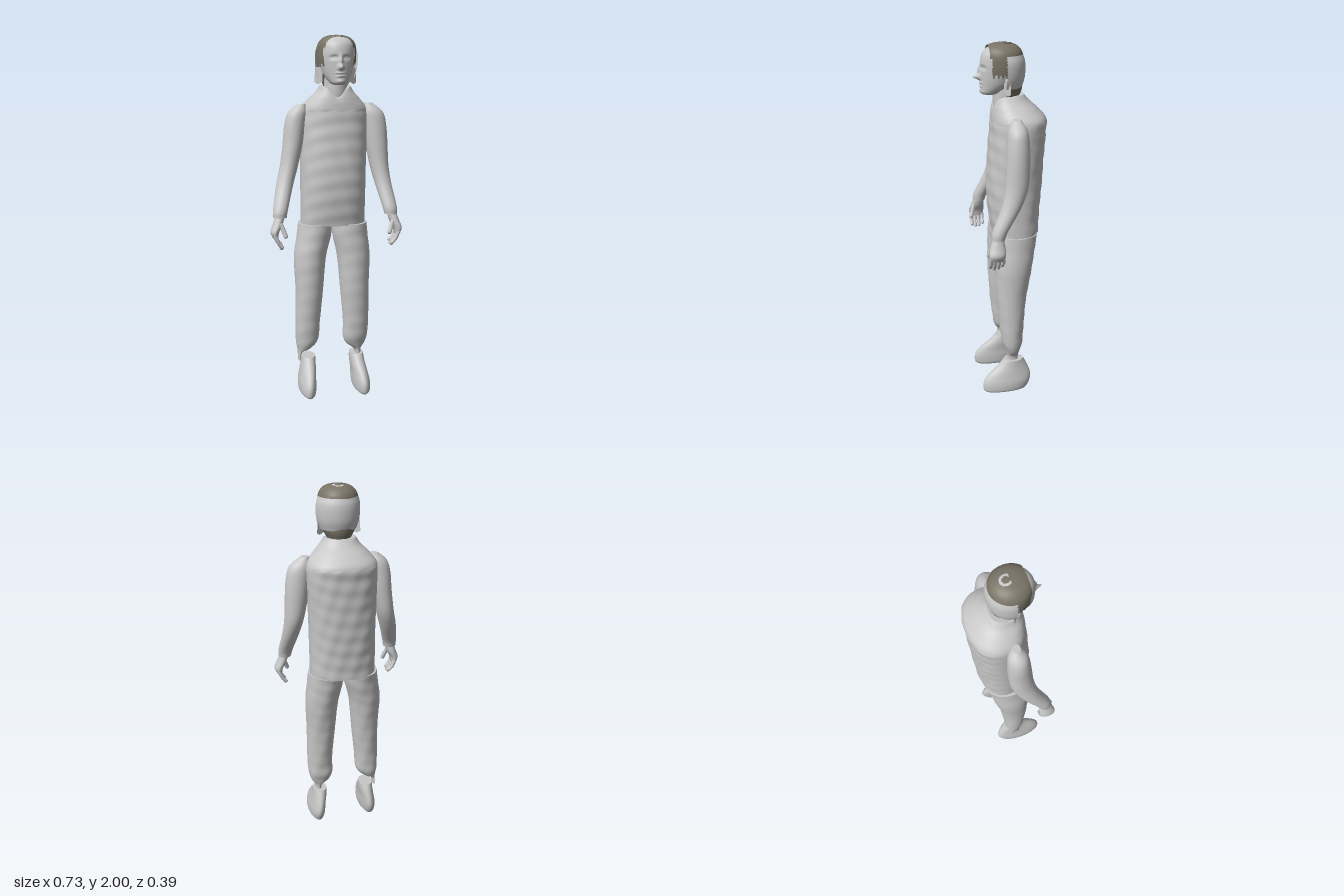
import * as THREE from 'three';

const skin = new THREE.MeshStandardMaterial({ color: 0xc8c8c8, side: THREE.DoubleSide });
skin.name = 'light grey';
const hairMat = new THREE.MeshStandardMaterial({ color: 0x797466, side: THREE.DoubleSide });
hairMat.name = 'dark olive hair';

// Smooth loft through horizontal rings [y, xMin, xMax, zMin, zMax], bottom to top.
// shape: superellipse power; warp moves points; keep selects faces by their centre.
function loft(name, rings, { mat = skin, seg = 40, sub = 6, shape = 2, caps = true, warp, keep } = {}) {
  const lo = new THREE.CatmullRomCurve3(rings.map(r => new THREE.Vector3(r[1], r[0], r[3])), false, 'catmullrom', 0.5);
  const hi = new THREE.CatmullRomCurve3(rings.map(r => new THREE.Vector3(r[2], r[0], r[4])), false, 'catmullrom', 0.5);
  const rows = (rings.length - 1) * sub, pts = [], index = [];
  const power = v => Math.sign(v) * Math.pow(Math.abs(v), 2 / shape);
  for (let i = 0; i <= rows; i++) {
    const a = lo.getPoint(i / rows), b = hi.getPoint(i / rows);
    for (let j = 0; j < seg; j++) {
      const t = j / seg * Math.PI * 2;
      const p = new THREE.Vector3(
        (a.x + b.x) / 2 + (b.x - a.x) / 2 * power(Math.cos(t)), a.y,
        (a.z + b.z) / 2 + (b.z - a.z) / 2 * power(Math.sin(t)));
      if (warp) warp(p);
      pts.push(p);
    }
  }
  const face = (a, b, c) => {
    const m = new THREE.Vector3().add(pts[a]).add(pts[b]).add(pts[c]).divideScalar(3);
    if (!keep || keep(m)) index.push(a, b, c);
  };
  for (let i = 0; i < rows; i++) for (let j = 0; j < seg; j++) {
    const a = i * seg + j, b = i * seg + (j + 1) % seg;
    face(a, a + seg, b);
    face(b, a + seg, b + seg);
  }
  if (caps) for (const [start, up] of [[0, false], [rows * seg, true]]) {
    const ring = pts.slice(start, start + seg), centre = new THREE.Vector3();
    ring.forEach(p => centre.addScaledVector(p, 1 / seg));
    const base = pts.length;
    pts.push(...ring.map(p => p.clone()), centre);
    for (let j = 0; j < seg; j++) {
      const a = base + j, b = base + (j + 1) % seg;
      up ? face(a, base + seg, b) : face(a, b, base + seg);
    }
  }
  const geo = new THREE.BufferGeometry().setFromPoints(pts);
  geo.setIndex(index);
  geo.computeVertexNormals();
  const mesh = new THREE.Mesh(geo, mat);
  mesh.name = name;
  return mesh;
}

// Soft bump with its peak at (cx, cy)
const bump = (x, y, cx, cy, w, h) => Math.exp(-(((x - cx) / w) ** 2) - ((y - cy) / h) ** 2);

// Small cloth wrinkles
const wrinkle = amount => p => {
  const w = Math.sin(p.y * 47 + p.x * 31) * Math.sin(p.x * 38 - p.y * 23 + p.z * 29);
  p.z += w * amount;
};

function finger(name, from, to, radius) {
  const a = new THREE.Vector3(...from), b = new THREE.Vector3(...to), d = b.clone().sub(a);
  const mesh = new THREE.Mesh(new THREE.CapsuleGeometry(radius, d.length(), 4, 10), skin);
  mesh.position.copy(a).add(b).multiplyScalar(0.5);
  mesh.quaternion.setFromUnitVectors(new THREE.Vector3(0, 1, 0), d.normalize());
  mesh.name = name;
  return mesh;
}

function hand(name, s) {
  const g = new THREE.Group();
  g.name = name;
  const side = (a, b) => s > 0 ? [a, b] : [-b, -a];
  g.add(loft(name + 'Palm', [
    [0.925, ...side(0.325, 0.352), 0.095, 0.172],
    [0.96, ...side(0.318, 0.366), 0.09, 0.178],
    [1.0, ...side(0.298, 0.352), 0.09, 0.168],
    [1.05, ...side(0.285, 0.335), 0.098, 0.15]], { seg: 20 }));
  [0.102, 0.124, 0.146, 0.166].forEach((z, i) => {
    const tip = [0.885, 0.872, 0.87, 0.88][i];
    g.add(finger('finger', [s * 0.342, 0.94, z], [s * 0.327, 0.905, z], 0.0105));
    g.add(finger('fingerTip', [s * 0.327, 0.905, z], [s * 0.307, tip, z], 0.0095));
  });
  g.add(finger('thumb', [s * 0.31, 1.0, 0.155], [s * 0.288, 0.94, 0.172], 0.012));
  return g;
}

export function createModel() {
  const model = new THREE.Group();
  model.name = 'standingFigure';

  // Shirt with rounded back and lowered front neckline
  model.add(loft('torso', [
    [0.97, -0.175, 0.19, -0.15, 0.105],
    [1.1, -0.174, 0.19, -0.158, 0.122],
    [1.25, -0.174, 0.192, -0.168, 0.128],
    [1.42, -0.174, 0.198, -0.178, 0.118],
    [1.54, -0.175, 0.205, -0.184, 0.108],
    [1.61, -0.168, 0.2, -0.186, 0.104],
    [1.66, -0.13, 0.16, -0.145, 0.1],
    [1.7, -0.09, 0.12, -0.1, 0.096],
    [1.735, -0.07, 0.098, -0.07, 0.09]], {
    shape: 2.3, seg: 72, sub: 10,
    warp(p) {
      if (p.y < 1.6) wrinkle(0.003)(p);
      if (p.y > 1.64 && p.z > 0) p.y -= (p.y - 1.64) * 0.65 * bump(p.x, 0, 0.014, 0, 0.05, 1);
    },
  }));

  // Sleeves
  model.add(loft('leftArm', [
    [1.035, 0.272, 0.342, 0.088, 0.158],
    [1.08, 0.262, 0.342, 0.07, 0.152],
    [1.2, 0.235, 0.327, -0.005, 0.1],
    [1.3, 0.212, 0.318, -0.045, 0.078],
    [1.42, 0.19, 0.314, -0.055, 0.07],
    [1.52, 0.178, 0.306, -0.054, 0.063],
    [1.59, 0.172, 0.286, -0.045, 0.053],
    [1.64, 0.18, 0.225, -0.018, 0.025]], { seg: 32 }));
  model.add(loft('rightArm', [
    [1.035, -0.348, -0.275, 0.088, 0.158],
    [1.08, -0.346, -0.265, 0.07, 0.152],
    [1.2, -0.32, -0.227, -0.005, 0.1],
    [1.3, -0.294, -0.195, -0.045, 0.078],
    [1.42, -0.276, -0.166, -0.055, 0.07],
    [1.52, -0.266, -0.152, -0.054, 0.063],
    [1.59, -0.245, -0.143, -0.045, 0.053],
    [1.635, -0.195, -0.148, -0.018, 0.025]], { seg: 32 }));
  model.add(hand('leftHand', 1), hand('rightHand', -1));

  // Trousers, gathered to a thin ankle
  const cloth = { seg: 40, sub: 8, warp: wrinkle(0.002) };
  model.add(loft('leftLeg', [
    [0.19, 0.13, 0.166, -0.02, 0.04],
    [0.225, 0.125, 0.168, -0.02, 0.042],
    [0.26, 0.08, 0.19, -0.032, 0.055],
    [0.31, 0.062, 0.204, -0.045, 0.07],
    [0.4, 0.062, 0.21, -0.05, 0.083],
    [0.6, 0.045, 0.21, -0.07, 0.1],
    [0.78, 0.03, 0.216, -0.1, 0.106],
    [0.9, 0.006, 0.206, -0.122, 0.106],
    [0.975, 0, 0.2, -0.135, 0.105]], cloth));
  model.add(loft('rightLeg', [
    [0.18, -0.202, -0.186, -0.02, 0.04],
    [0.225, -0.203, -0.178, -0.02, 0.042],
    [0.25, -0.207, -0.125, -0.032, 0.055],
    [0.3, -0.214, -0.085, -0.045, 0.07],
    [0.4, -0.215, -0.076, -0.05, 0.083],
    [0.6, -0.213, -0.056, -0.07, 0.1],
    [0.78, -0.218, -0.038, -0.1, 0.106],
    [0.9, -0.2, -0.008, -0.122, 0.106],
    [0.975, -0.19, 0, -0.135, 0.105]], cloth));

  // Shoes
  for (const [name, s] of [['leftShoe', 1], ['rightShoe', -1]]) {
    const side = (a, b) => s > 0 ? [a, b] : [-b, -a];
    model.add(loft(name, [
      [0, ...side(0.125, 0.188), -0.055, 0.175],
      [0.015, ...side(0.112, 0.204), -0.07, 0.187],
      [0.06, ...side(0.108, 0.205), -0.09, 0.187],
      [0.105, ...side(0.108, 0.196), -0.09, 0.16],
      [0.16, ...side(0.102, 0.186), -0.07, 0.098],
      [0.2, ...side(0.102, 0.182), -0.05, 0.062]], { seg: 32 }));
  }

  // Neck and face
  model.add(loft('neck', [
    [1.64, -0.06, 0.09, -0.06, 0.088],
    [1.7, -0.05, 0.08, -0.05, 0.092],
    [1.79, -0.045, 0.075, -0.04, 0.09]], { seg: 32 }));
  model.add(loft('head', [
    [1.738, -0.015, 0.045, 0.07, 0.145],
    [1.75, -0.033, 0.063, 0.04, 0.157],
    [1.79, -0.058, 0.088, -0.02, 0.157],
    [1.84, -0.072, 0.102, -0.045, 0.158],
    [1.9, -0.078, 0.108, -0.055, 0.158],
    [1.95, -0.072, 0.102, -0.045, 0.145],
    [1.98, -0.048, 0.078, -0.015, 0.108],
    [1.99, -0.01, 0.04, 0.02, 0.055]], {
    seg: 120, sub: 10,
    warp(p) {
      if (p.z < 0.09) return;
      const x = p.x - 0.015;
      p.z += 0.036 * bump(x, p.y, 0, 1.828, 0.013, 0.013)         // nose tip
        + 0.016 * bump(x, p.y, 0, 1.86, 0.01, 0.025)              // nose bridge
        - 0.014 * bump(Math.abs(x), p.y, 0.033, 1.878, 0.02, 0.01) // eye sockets
        + 0.008 * bump(Math.abs(x), p.y, 0.033, 1.876, 0.012, 0.006)
        + 0.009 * bump(x, p.y, 0, 1.798, 0.022, 0.006)            // lips
        + 0.008 * bump(x, p.y, 0, 1.783, 0.02, 0.006)
        - 0.006 * bump(x, p.y, 0, 1.79, 0.026, 0.003)
        + 0.006 * bump(x, p.y, 0, 1.755, 0.02, 0.01);
    },
  }));

  // Hair: crown with an arched gap, sideburns and nape
  model.add(loft('hair', [
    [1.73, -0.05, 0.08, -0.05, 0.1],
    [1.77, -0.07, 0.1, -0.062, 0.12],
    [1.84, -0.088, 0.118, -0.066, 0.14],
    [1.9, -0.092, 0.122, -0.068, 0.15],
    [1.95, -0.086, 0.116, -0.062, 0.148],
    [1.98, -0.064, 0.094, -0.04, 0.13],
    [1.995, -0.032, 0.062, -0.008, 0.09],
    [2.0, 0.01, 0.02, 0.03, 0.04]], {
    mat: hairMat, seg: 96, sub: 12,
    keep(m) {
      const r = Math.hypot(m.x - 0.018, (m.z - 0.022) * 0.9);
      if (m.y > 1.98 && r > 0.018 && r < 0.03 && m.z < 0.04) return false;
      if (m.z > 0.118) return false;
      return m.y > 1.93 || (m.z > 0.03 && m.z < 0.108 && m.y > 1.84 + 0.01 * Math.sin(m.z * 300))
        || (m.y < 1.8 && m.z < 0.03);
    },
  }));

  // Bare shell behind the head, with a flap at each side
  model.add(loft('headShell', [
    [1.775, -0.082, 0.115, -0.06, 0.14],
    [1.82, -0.096, 0.13, -0.074, 0.155],
    [1.87, -0.1, 0.135, -0.078, 0.16],
    [1.91, -0.098, 0.132, -0.075, 0.157],
    [1.942, -0.089, 0.12, -0.064, 0.148]], {
    seg: 96, caps: false, keep: m => m.z < 0.038,
  }));
  for (const [name, x, s] of [['leftFlap', 0.115, 1], ['rightFlap', -0.085, -1]]) {
    const outline = new THREE.Shape([[-0.03, 0.09], [0.014, 0.09], [0.02, 0.012], [0, 0], [-0.03, 0.012]]
      .map(([u, v]) => new THREE.Vector2(s * u, v)));
    const flap = new THREE.Mesh(new THREE.ShapeGeometry(outline), skin);
    flap.position.set(x, 1.74, 0.03);
    flap.rotation.y = s * 0.6;
    flap.name = name;
    model.add(flap);
  }
  return model;
}
